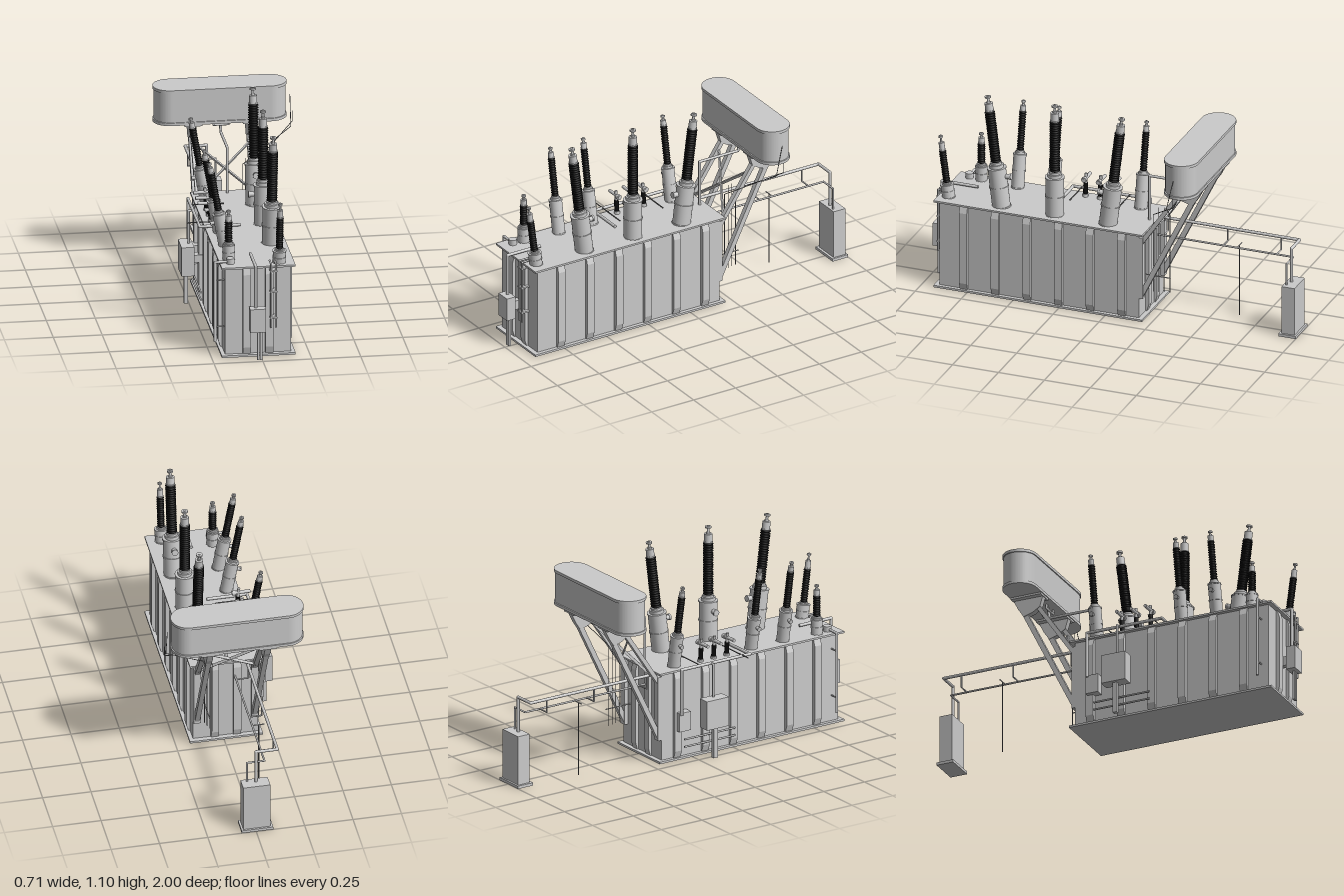
import * as THREE from 'three';

const V = (x, y, z) => new THREE.Vector3(x, y, z);
const UP = V(0, 1, 0);

export function createModel() {
  const root = new THREE.Group();
  const grey = new THREE.MeshStandardMaterial({ color: 0xcccccc });
  const flat = new THREE.MeshStandardMaterial({ color: 0xcccccc, flatShading: true });
  const black = new THREE.MeshStandardMaterial({ color: 0x0c0c0c });
  const pipeGrey = new THREE.MeshStandardMaterial({ color: 0x777777 });

  const add = (name, geo, mat = grey, parent = root) => {
    const m = new THREE.Mesh(geo, mat);
    m.name = name;
    parent.add(m);
    return m;
  };
  // Box given by its min and max corners
  const box = (name, x0, x1, y0, y1, z0, z1, mat = flat) => {
    const m = add(name, new THREE.BoxGeometry(x1 - x0, y1 - y0, z1 - z0), mat);
    m.position.set((x0 + x1) / 2, (y0 + y1) / 2, (z0 + z1) / 2);
    return m;
  };
  // Place a y-aligned geometry between two points
  const between = (m, a, b) => {
    m.position.copy(a).lerp(b, 0.5);
    m.quaternion.setFromUnitVectors(UP, b.clone().sub(a).normalize());
    return m;
  };
  const rod = (name, a, b, r, mat = grey, parent = root) =>
    between(add(name, new THREE.CylinderGeometry(r, r, a.distanceTo(b), 12), mat, parent), a, b);
  const beam = (name, a, b, w, d) =>
    between(add(name, new THREE.BoxGeometry(w, a.distanceTo(b), d), flat), a, b);
  // Pipe run with ball elbows
  const pipe = (name, r, pts, mat = grey) => {
    const g = new THREE.Group();
    g.name = name;
    root.add(g);
    const p = pts.map(q => V(...q));
    for (let i = 1; i < p.length; i++) {
      rod(name + 'Run', p[i - 1], p[i], r, mat, g);
      if (i < p.length - 1 && r > 0.003)
        add(name + 'Elbow', new THREE.SphereGeometry(r, 12, 8), mat, g).position.copy(p[i]);
    }
  };

  // Tank with base flange and lid
  box('tankBody', -0.18, 0.157, 0.005, 0.48, -0.18, 0.905);
  box('baseFlange', -0.2, 0.177, 0.003, 0.014, -0.205, 0.93);
  box('lid', -0.2, 0.177, 0.476, 0.486, -0.205, 0.93);

  // Vertical stiffeners with tapered ends on all four walls
  const rib = (x, z, turn, d, w) => {
    const s = new THREE.Shape();
    [[-0.002, 0.012], [d * 0.35, 0.012], [d, 0.05], [d, 0.44], [d * 0.35, 0.478], [-0.002, 0.478]]
      .forEach(([a, b], i) => i ? s.lineTo(a, b) : s.moveTo(a, b));
    const geo = new THREE.ExtrudeGeometry(s, { depth: w, bevelEnabled: false });
    geo.translate(0, 0, -w / 2);
    const m = add('stiffener', geo, flat);
    m.position.set(x, 0, z);
    m.rotation.y = turn;
  };
  for (let i = 0; i < 6; i++) {
    const z = -0.09 + i * 0.172;
    rib(0.157, z, 0, 0.02, 0.042);
    rib(-0.18, z, Math.PI, 0.02, 0.042);
  }
  for (const x of [-0.07, 0.045]) {
    rib(x, 0.905, -Math.PI / 2, 0.018, 0.04);
    rib(x, -0.18, Math.PI / 2, 0.018, 0.04);
  }

  // Bushing: turret, ribbed insulator, cap and terminal along one leaning axis
  const bushing = (name, base, tip, o) => {
    const g = new THREE.Group();
    g.name = name;
    root.add(g);
    const a = V(...base), b = V(...tip), len = a.distanceTo(b);
    g.position.copy(a);
    g.quaternion.setFromUnitVectors(UP, b.sub(a).normalize());
    const { R, r, t, i0, i1 } = o; // radii, turret top, insulator range
    const lathe = (n, pts, mat) =>
      add(n, new THREE.LatheGeometry(pts.map(p => new THREE.Vector2(...p)), 24), mat, g);
    const cyl = (n, rad, y0, y1, x = 0) => {
      const m = add(n, new THREE.CylinderGeometry(rad, rad, y1 - y0, 24), grey, g);
      m.position.set(x, (y0 + y1) / 2, 0);
      return m;
    };
    cyl('turret', R, -0.012, t);
    for (const f of [0, 0.5, 0.97]) cyl('turretFlange', R * 1.07, t * f, t * f + 0.007);
    cyl('collar', r * 1.35, t, t + (i0 - t) * 0.6);
    cyl('insulatorFoot', r * 1.05, t, i0);
    const sheds = Math.round((i1 - i0) / 0.0125), pts = [[0.001, i0]];
    const step = (i1 - i0) / sheds;
    for (let k = 0; k < sheds; k++)
      pts.push([r * 0.72, i0 + k * step], [r, i0 + (k + 0.4) * step], [r * 0.97, i0 + (k + 0.6) * step]);
    pts.push([r * 0.72, i1], [0.001, i1]);
    lathe('insulator', pts, black);
    const capTop = i1 + (len - i1) * 0.52;
    cyl('cap', r * 0.78, i1, capTop);
    cyl('capRim', r * 0.87, i1, i1 + 0.006);
    cyl('terminalRod', r * 0.25, capTop, len);
    cyl('terminalDisc', r * 0.6, len - 0.012, len - 0.004);
    cyl('terminalClamp', r * 0.4, capTop, capTop + 0.008);
    if (o.port) {
      // Side port on the turret, direction given in the turret's frame
      const d = V(...o.port), p = V(0, t * 0.77, 0);
      rod('sidePort', p, p.clone().addScaledVector(d, R * 1.55), R * 0.28, grey, g);
      rod('sidePortCap', p.clone().addScaledVector(d, R * 1.4), p.clone().addScaledVector(d, R * 1.6), R * 0.36, grey, g);
    }
  };
  const high = { R: 0.047, r: 0.027, t: 0.215, i0: 0.245, i1: 0.525 };
  bushing('highVoltageBushing', [0.1, 0.48, 0.59], [0.1, 1.085, 0.665], { ...high, port: [0, 0, -1] });
  bushing('highVoltageBushing', [0.1, 0.48, 0.3], [0.1, 1.095, 0.3], { ...high, port: [-1, 0, 0] });
  bushing('highVoltageBushing', [0.1, 0.48, 0.01], [0.1, 1.085, -0.065], { ...high, port: [0, 0, 1] });
  bushing('neutralBushing', [0.1, 0.48, 0.877], [0.1, 0.82, 0.922], { R: 0.033, r: 0.019, t: 0.07, i0: 0.085, i1: 0.26 });
  for (const z of [-0.075, 0.4, 0.595])
    bushing('lowVoltageBushing', [-0.135, 0.48, z], [-0.217, 0.935, z],
      { R: 0.033, r: 0.019, t: 0.18, i0: 0.2, i1: 0.405, port: [-1, 0, 0] });
  bushing('tertiaryBushing', [-0.147, 0.48, 0.797], [-0.147, 0.75, 0.797], { R: 0.03, r: 0.02, t: 0.08, i0: 0.1, i1: 0.21 });

  // Small bushings with sideways terminals
  for (const z of [0.075, 0.155, 0.235]) {
    const at = (x, y) => V(x, y, z);
    rod('smallBushingFoot', at(-0.155, 0.48), at(-0.157, 0.5), 0.015);
    rod('smallBushingInsulator', at(-0.157, 0.5), at(-0.162, 0.56), 0.012, black);
    rod('smallBushingHead', at(-0.162, 0.56), at(-0.166, 0.61), 0.008);
    rod('smallBushingTerminal', at(-0.225, 0.585), at(-0.13, 0.585), 0.009);
    rod('smallBushingCap', at(-0.15, 0.585), at(-0.132, 0.585), 0.014);
  }

  // Conservator: stadium-shaped tank with rims
  const stadium = (name, halfX, rad, y0, y1) => {
    const s = new THREE.Shape();
    s.absarc(halfX, 0, rad, -Math.PI / 2, Math.PI / 2);
    s.absarc(-halfX, 0, rad, Math.PI / 2, Math.PI * 1.5);
    const geo = new THREE.ExtrudeGeometry(s, { depth: y1 - y0, bevelEnabled: false, curveSegments: 20 });
    geo.rotateX(-Math.PI / 2);
    add(name, geo).position.set(-0.016, y0, -0.445);
  };
  stadium('conservatorTank', 0.252, 0.084, 0.795, 0.975);
  stadium('conservatorTopRim', 0.252, 0.09, 0.965, 0.98);
  stadium('conservatorBottomRim', 0.252, 0.09, 0.79, 0.805);

  // Conservator brackets, legs and cross bracing
  const gusset = new THREE.Shape(
    [[-0.36, 0.79], [-0.53, 0.79], [-0.5, 0.73], [-0.47, 0.685], [-0.42, 0.70], [-0.38, 0.725]]
      .map(p => new THREE.Vector2(...p)));
  for (const x of [-0.16, 0.138]) {
    const geo = new THREE.ExtrudeGeometry(gusset, { depth: 0.032, bevelEnabled: false });
    geo.translate(0, 0, -0.016);
    geo.rotateY(-Math.PI / 2);
    add('conservatorBracket', geo, flat).position.x = x;
    box('bracketPlate', x - 0.045, x + 0.045, 0.78, 0.792, -0.53, -0.36);
    beam('conservatorLeg', V(x, 0.74, -0.4), V(x, 0.43, -0.19), 0.026, 0.022);
    beam('conservatorLeg', V(x, 0.72, -0.475), V(x, 0.14, -0.19), 0.026, 0.026);
    box('legFoot', x - 0.018, x + 0.018, 0.12, 0.46, -0.2, -0.175);
  }
  beam('crossBrace', V(-0.16, 0.69, -0.375), V(0.138, 0.46, -0.215), 0.014, 0.008);
  beam('crossBrace', V(0.138, 0.69, -0.375), V(-0.16, 0.46, -0.215), 0.014, 0.008);

  // Oil pipe from lid to conservator
  pipe('conservatorPipe', 0.007, [[-0.016, 0.48, -0.17], [-0.016, 0.73, -0.17], [-0.016, 0.73, -0.4], [-0.016, 0.79, -0.41]]);
  pipe('conservatorLoop', 0.006, [[-0.053, 0.79, -0.4], [-0.053, 0.77, -0.4], [0.024, 0.77, -0.4], [0.024, 0.79, -0.4]]);

  // Thin lines from the conservator down the rear wall
  for (let i = 0; i < 4; i++) {
    const z = -0.24 - i * 0.027, x = 0.11 - i * 0.008;
    pipe('gaugeLine', 0.0018, i % 3
      ? [[x, 0.62, z], [x, 0.15, z]]
      : [[0.355 - i * 0.004, i ? 0.9 : 0.81, -0.44], [0.355 - i * 0.004, 0.755 - i * 0.005, -0.44 + i * 0.012], [x, 0.58, z], [x, 0.15, z]], pipeGrey);
  }
  pipe('gaugeLineBar', 0.003, [[0.1, 0.235, -0.18], [0.1, 0.235, -0.33]]);

  // Rear cabinet with its pipe bridge
  box('rearCabinet', -0.075, 0.065, 0.012, 0.275, -0.99, -0.92);
  box('rearCabinetBase', -0.088, 0.075, 0, 0.015, -1, -0.907);
  pipe('bridgePipe', 0.008, [[-0.12, 0.46, -0.18], [-0.12, 0.46, -0.945], [-0.01, 0.46, -0.945], [-0.01, 0.27, -0.945]]);
  pipe('bridgeThinPipe', 0.005, [[-0.056, 0.39, -0.18], [-0.056, 0.39, -0.935], [0.035, 0.39, -0.935], [0.035, 0.27, -0.935]]);
  for (const z of [-0.23, -0.555, -0.845])
    pipe('bridgeStrut', 0.004, [[-0.12, 0.46, z], [-0.12, 0.39, z], [-0.056, 0.39, z]]);
  pipe('bridgePost', 0.003, [[-0.09, 0.39, -0.63], [-0.09, 0, -0.63]], pipeGrey);
  pipe('bridgePostArm', 0.003, [[-0.12, 0.39, -0.63], [-0.056, 0.39, -0.63]]);

  // Front cabinet, posts and riser
  box('frontCabinet', -0.064, 0.016, 0.155, 0.28, 0.948, 0.998);
  for (const x of [-0.02, -0.005]) box('frontCabinetPost', x - 0.006, x + 0.006, 0, 0.16, 0.965, 0.978);
  box('frontCabinetBracket', -0.04, -0.01, 0.19, 0.24, 0.9, 0.95);
  pipe('frontRiser', 0.008, [[-0.032, 0.27, 0.965], [-0.032, 0.5, 0.965], [-0.032, 0.5, 0.77]]);
  for (const x of [0.05, 0.074])
    pipe('frontConduit', 0.005, [[x, 0.16, 0.945], [x, 0.5, 0.945], [x, 0.5, 0.885]]);
  for (const y of [0.21, 0.35, 0.46]) box('conduitClamp', 0.044, 0.08, y, y + 0.008, 0.9, 0.952);

  // Left-hand cabinets, posts and conduits
  box('sideCabinet', -0.295, -0.23, 0.165, 0.32, 0.02, 0.155);
  box('sideCabinetPost', -0.275, -0.255, 0, 0.17, 0.075, 0.1);
  box('sideCabinetBracket', -0.24, -0.18, 0.22, 0.26, 0.06, 0.11);
  box('smallSideCabinet', -0.225, -0.18, 0.16, 0.26, -0.1, -0.03);
  pipe('sideConduit', 0.008, [[-0.228, 0.25, -0.09], [-0.228, 0.495, -0.09], [-0.228, 0.495, 0.33], [-0.02, 0.495, 0.33]]);
  pipe('sideConduitDrop', 0.006, [[-0.25, 0.32, 0.09], [-0.25, 0.495, 0.09], [-0.228, 0.495, 0.09]]);
  pipe('lidCable', 0.003, [[-0.285, 0.5, 0.28], [-0.055, 0.5, 0.28]], pipeGrey);
  pipe('lidCable', 0.003, [[-0.228, 0.5, 0.02], [-0.06, 0.5, 0.02]], pipeGrey);
  for (const y of [0.07, 0.11]) pipe('sideRail', 0.005, [[-0.21, y, -0.06], [-0.21, y, 0.25]]);

  // Breather pot on the lid with a drop pipe
  rod('breatherPot', V(-0.147, 0.48, 0.862), V(-0.147, 0.515, 0.862), 0.021);
  pipe('breatherPipe', 0.007, [[-0.147, 0.497, 0.865], [-0.226, 0.497, 0.865], [-0.226, 0.07, 0.865]]);
  for (const y of [0.15, 0.4]) pipe('breatherClamp', 0.004, [[-0.226, y, 0.865], [-0.17, y, 0.865]]);

  return root;
}
